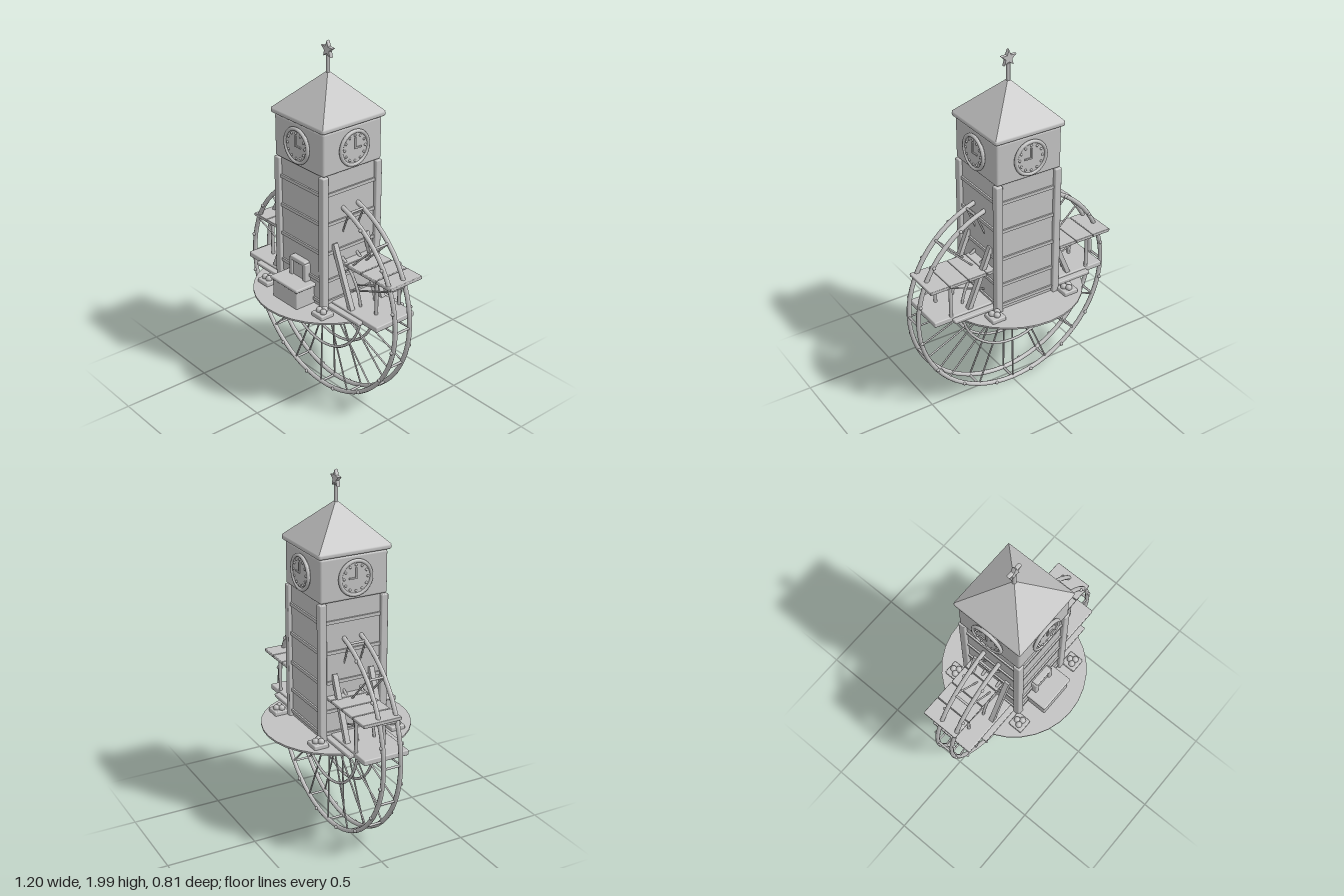
import * as THREE from 'three';
import { RoundedBoxGeometry } from 'three/addons/geometries/RoundedBoxGeometry.js';

const stone = new THREE.MeshStandardMaterial({ color: 0xc2c2c2 });
stone.name = 'light grey';

function add(parent, name, geometry, x = 0, y = 0, z = 0) {
  const mesh = new THREE.Mesh(geometry, stone);
  mesh.name = name;
  mesh.position.set(x, y, z);
  parent.add(mesh);
  return mesh;
}

// Box given by its lower and upper corners, optionally with rounded edges
function box(parent, name, a, b, r = 0) {
  const [w, h, d] = a.map((v, i) => b[i] - v);
  const geometry = r ? new RoundedBoxGeometry(w, h, d, 2, r) : new THREE.BoxGeometry(w, h, d);
  return add(parent, name, geometry, (a[0] + b[0]) / 2, (a[1] + b[1]) / 2, (a[2] + b[2]) / 2);
}

// Round rod between two points
function rod(parent, name, a, b, r, sides = 8) {
  const p = new THREE.Vector3(...a), q = new THREE.Vector3(...b);
  const dir = q.clone().sub(p);
  const mesh = add(parent, name, new THREE.CylinderGeometry(r, r, dir.length(), sides));
  mesh.position.copy(p.add(q).multiplyScalar(0.5));
  mesh.quaternion.setFromUnitVectors(new THREE.Vector3(0, 1, 0), dir.normalize());
  return mesh;
}

function group(parent, name) {
  const g = new THREE.Group();
  g.name = name;
  parent.add(g);
  return g;
}

// Clock facing +z; hand = which way the hour hand points along x
function makeClock(parent, hand) {
  const clock = group(parent, 'clock');
  add(clock, 'clockFace', new THREE.CylinderGeometry(0.09, 0.09, 0.02, 32), 0, 0, 0.005).rotation.x = Math.PI / 2;
  add(clock, 'clockRim', new THREE.TorusGeometry(0.089, 0.01, 8, 32), 0, 0, 0.013);
  for (let i = 0; i < 12; i++) {
    const t = i * Math.PI / 6;
    add(clock, 'hourMark', new THREE.SphereGeometry(0.007, 8, 6), 0.068 * Math.cos(t), 0.068 * Math.sin(t), 0.015);
  }
  box(clock, 'minuteHand', [-0.004, -0.004, 0.014], [0.004, 0.055, 0.021]);
  box(clock, 'hourHand', [-0.02, -0.004, 0.014], [0.02, 0.004, 0.021]).position.x = hand * 0.02;
  return clock;
}

function buildTower(root) {
  const tower = group(root, 'tower');
  box(tower, 'towerWalls', [-0.178, 0.62, -0.178], [0.178, 1.38, 0.178]);
  for (const x of [-0.178, 0.178]) for (const z of [-0.178, 0.178])
    box(tower, 'cornerPost', [x - 0.02, 0.62, z - 0.02], [x + 0.02, 1.375, z + 0.02], 0.006);
  for (const y of [0.655, 0.78, 0.94, 1.105, 1.27])
    box(tower, 'crossBeam', [-0.187, y - 0.009, -0.187], [0.187, y + 0.009, 0.187]);
  // Clock storey
  box(tower, 'clockStorey', [-0.193, 1.378, -0.193], [0.193, 1.61, 0.193], 0.012);
  for (let i = 0; i < 4; i++) {
    const t = i * Math.PI / 2;
    const clock = makeClock(tower, i < 2 ? 1 : -1);
    clock.position.set(0.193 * Math.sin(t), 1.495, 0.193 * Math.cos(t));
    clock.rotation.y = t;
  }
  // Pyramid roof with a star on a pole
  box(tower, 'eaves', [-0.208, 1.612, -0.208], [0.208, 1.642, 0.208], 0.012);
  const roof = new THREE.CylinderGeometry(0.002, 0.205 * Math.SQRT2, 0.205, 4).toNonIndexed();
  roof.computeVertexNormals();
  add(tower, 'roof', roof, 0, 1.742, 0).rotation.y = Math.PI / 4;
  rod(tower, 'starPole', [0, 1.82, 0], [0, 1.925, 0], 0.011, 12);
  const points = [];
  for (let i = 0; i < 10; i++) {
    const r = i % 2 ? 0.019 : 0.043, t = Math.PI / 2 + i * Math.PI / 5;
    points.push(new THREE.Vector2(r * Math.cos(t), r * Math.sin(t)));
  }
  const star = new THREE.ExtrudeGeometry(new THREE.Shape(points), {
    depth: 0.01, bevelThickness: 0.005, bevelSize: 0.003, bevelSegments: 1 });
  add(tower, 'star', star, 0, 1.953, -0.005);
}

function buildWheel(root) {
  const wheel = group(root, 'wheel');
  wheel.position.y = 0.61;
  for (const z of [-0.05, 0.05]) {
    add(wheel, 'rim', new THREE.TorusGeometry(0.588, 0.0125, 8, 64), 0, 0, z);
    add(wheel, 'innerRing', new THREE.TorusGeometry(0.325, 0.008, 6, 48), 0, 0, z);
  }
  for (let i = 0; i < 16; i++) {
    const t = i * Math.PI / 8, c = Math.cos(t), s = Math.sin(t);
    for (const z of [-0.05, 0.05])
      rod(wheel, 'spoke', [0, 0, z * 0.7], [0.588 * c, 0.588 * s, z], 0.005, 6);
    rod(wheel, 'rimRung', [0.59 * c, 0.59 * s, -0.05], [0.59 * c, 0.59 * s, 0.05], 0.007, 6);
    // Bolts halfway between the spokes
    const u = t + Math.PI / 16, bx = 0.588 * Math.cos(u), by = 0.588 * Math.sin(u);
    for (const z of [-0.062, 0.062])
      add(wheel, 'rimBolt', new THREE.SphereGeometry(0.01, 8, 6), bx, by, z);
  }
  add(wheel, 'hub', new THREE.CylinderGeometry(0.055, 0.055, 0.08, 8)).rotation.set(Math.PI / 2, Math.PI / 8, 0);
  const wedge = add(wheel, 'hubWedge', new THREE.CylinderGeometry(0.053, 0.036, 0.06, 4, 1).rotateY(Math.PI / 4), 0, -0.06, 0);
  wedge.material = stone;
}

// Shelves, pillars and braces on one side; s = side along x
function buildWing(root, s) {
  const wing = group(root, s > 0 ? 'leftWing' : 'rightWing');
  const slab = (name, x0, x1, y0, y1, z0, z1, r) =>
    box(wing, name, [Math.min(s * x0, s * x1), y0, z0], [Math.max(s * x0, s * x1), y1, z1], r);
  slab('lowerShelf', 0.17, 0.535, 0.622, 0.653, -0.13, 0.13, 0.006);
  slab('lowerStep', 0.17, 0.43, 0.622, 0.642, -0.16, 0.16, 0.005);
  // Upper shelf planks
  const edges = [0.17, 0.228, 0.34, 0.452, 0.566];
  for (let i = 0; i < 4; i++)
    slab('shelfPlank', edges[i] + 0.002, edges[i + 1] - 0.002, 0.848, 0.866, -0.152, 0.066, 0.004);
  slab('shelfBearer', 0.17, 0.56, 0.846, 0.852, -0.148, 0.062);
  for (const z of [-0.12, 0.04])
    rod(wing, 'shelfPillar', [s * 0.432, 0.64, z], [s * 0.432, 0.85, z], 0.01);
  // Slanted struts against the tower
  for (const z of [-0.107, 0.107]) {
    const strut = add(wing, 'strut', new THREE.BoxGeometry(0.025, 0.375, 0.028), s * 0.25, 0.81, z);
    strut.rotation.z = s * 0.39;
  }
}

function buildBase(root) {
  const base = group(root, 'base');
  add(base, 'roundPlatform', new THREE.CylinderGeometry(0.404, 0.404, 0.01, 32), 0, 0.62, 0);
  // Corner plinths with three balls each
  for (const sx of [-1, 1]) for (const sz of [-1, 1]) {
    const x = sx * 0.229, z = sz * 0.229;
    box(base, 'plinth', [x - 0.042, 0.622, z - 0.042], [x + 0.042, 0.648, z + 0.042], 0.006);
    for (const [dx, dz] of [[-0.016, 0.009], [0.016, 0.009], [0, -0.016]])
      add(base, 'ball', new THREE.SphereGeometry(0.018, 12, 8), x + dx, 0.655, z + dz);
  }
  // Front bench with a framed backboard
  box(base, 'benchBody', [-0.1, 0.622, 0.17], [0.1, 0.735, 0.298], 0.006);
  box(base, 'benchTop', [-0.112, 0.726, 0.17], [0.112, 0.746, 0.307], 0.007);
  box(base, 'backboardPanel', [-0.058, 0.74, 0.17], [0.058, 0.845, 0.201]);
  for (const x of [-0.056, 0.056])
    box(base, 'backboardSide', [x - 0.013, 0.74, 0.17], [x + 0.013, 0.845, 0.212], 0.006);
  box(base, 'backboardTop', [-0.06, 0.83, 0.17], [0.06, 0.857, 0.212], 0.006);
}

export function createModel() {
  const root = new THREE.Group();
  root.name = 'clockTowerWheel';
  buildTower(root);
  buildWheel(root);
  buildBase(root);
  for (const s of [-1, 1]) buildWing(root, s);
  return root;
}
